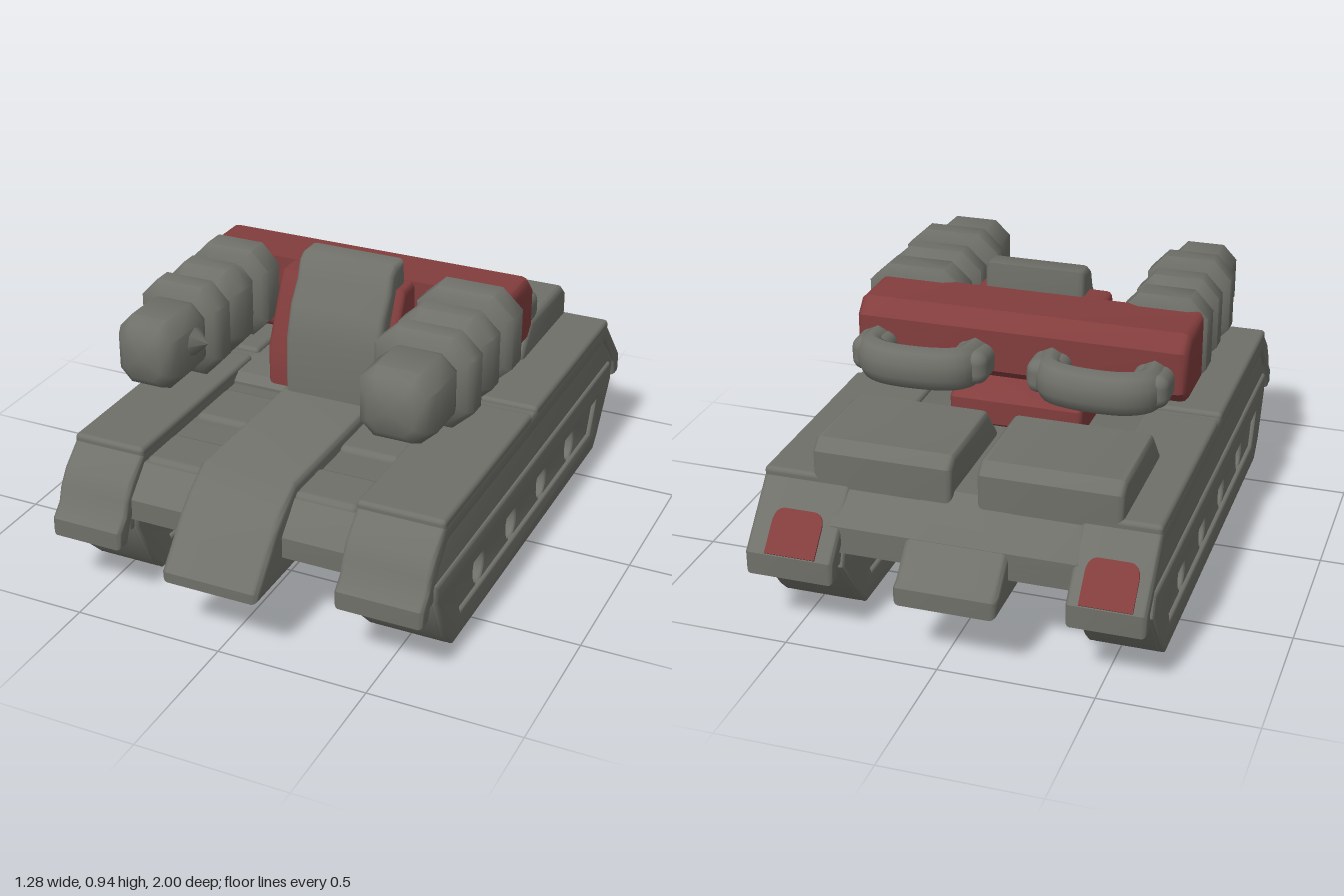
import * as THREE from 'three';
import { toCreasedNormals } from 'three/addons/utils/BufferGeometryUtils.js';
import { RoundedBoxGeometry } from 'three/addons/geometries/RoundedBoxGeometry.js';

const grey = new THREE.MeshStandardMaterial({ color: 0x6f7069 });
grey.name = 'armour grey';
const red = new THREE.MeshStandardMaterial({ color: 0x833d3d });
red.name = 'dark red';

function add(parent, name, geometry, material) {
  const mesh = new THREE.Mesh(geometry, material);
  mesh.name = name;
  parent.add(mesh);
  return mesh;
}

// Side profile of [z, y] points swept across x0..x1 with softened edges
function prism(profile, x0, x1, bevel = 0.02, holes = []) {
  const shape = new THREE.Shape(profile.map(([z, y]) => new THREE.Vector2(-z, y)));
  shape.holes = holes;
  const geo = new THREE.ExtrudeGeometry(shape, {
    depth: x1 - x0 - 2 * bevel, bevelEnabled: true, bevelSize: bevel,
    bevelThickness: bevel, bevelOffset: -bevel, bevelSegments: 3, curveSegments: 10,
  });
  geo.rotateY(Math.PI / 2).translate(x0 + bevel, 0, 0);
  return toCreasedNormals(geo, 0.7);
}

// Rounded box from its limits
function block(x0, x1, y0, y1, z0, z1, r = 0.025) {
  return new RoundedBoxGeometry(x1 - x0, y1 - y0, z1 - z0, 3, r)
    .translate((x0 + x1) / 2, (y0 + y1) / 2, (z0 + z1) / 2);
}

// Stepped cannon along z, its section a square with cut corners
function cannon() {
  const profile = [
    [0, -0.05], [0.13, -0.05], [0.155, -0.03], [0.155, 0.05], [0.135, 0.068],
    [0.108, 0.08], [0.108, 0.12], [0.125, 0.135], [0.15, 0.155], [0.15, 0.215],
    [0.125, 0.255], [0.108, 0.27], [0.108, 0.295], [0.135, 0.305], [0.155, 0.32],
    [0.155, 0.38], [0.138, 0.4], [0.112, 0.415], [0.118, 0.44], [0.118, 0.575],
    [0.1, 0.615], [0.07, 0.642], [0, 0.645],
  ].map(([r, z]) => new THREE.Vector2(r / Math.cos(Math.PI / 8), z));
  const geo = new THREE.LatheGeometry(profile, 8, Math.PI / 8);
  geo.rotateX(Math.PI / 2);
  const p = geo.attributes.position;
  for (let i = 0; i < p.count; i++) {
    const x = p.getX(i), y = p.getY(i);
    if (Math.abs(x) < Math.abs(y)) p.setX(i, Math.sign(x) * Math.abs(y) * 0.58);
    else p.setY(i, Math.sign(y) * Math.abs(x) * 0.58);
  }
  return toCreasedNormals(geo, 0.85);
}

// Thin lamp plate, rounded at its upper end
function lampPlate(w, h) {
  const shape = new THREE.Shape();
  shape.moveTo(-w, -h).lineTo(w, -h).lineTo(w, h * 0.3);
  shape.quadraticCurveTo(w, h, w * 0.55, h).lineTo(-w * 0.55, h);
  shape.quadraticCurveTo(-w, h, -w, h * 0.3);
  return new THREE.ExtrudeGeometry(shape, { depth: 0.006, bevelEnabled: false });
}

export function createModel() {
  const model = new THREE.Group();
  model.name = 'tank';
  const hull = new THREE.Group();
  hull.name = 'hull';
  const turret = new THREE.Group();
  turret.name = 'turret';
  model.add(hull, turret);

  // Hull: floor, raised rear deck, and a full-length centre spine
  add(hull, 'lowerDeck', prism([[0.83, 0.28], [0.83, 0.35], [0.74, 0.44], [-0.7, 0.44],
    [-0.88, 0.33], [-0.88, 0.28]], -0.42, 0.4), grey);
  add(hull, 'rearDeck', prism([[0.14, 0.38], [0.14, 0.45], [0.11, 0.475], [-0.77, 0.475],
    [-0.88, 0.37], [-0.88, 0.31]], -0.42, 0.4), grey);
  add(hull, 'spine', prism([[1, 0.205], [1, 0.24], [0.92, 0.33], [0.87, 0.385], [0.82, 0.43], [0.73, 0.487],
    [-0.76, 0.487], [-0.97, 0.28], [-1, 0.265], [-1, 0.205]], -0.19, 0.14), grey);

  for (const [x0, x1, side] of [[-0.64, -0.39, 'right'], [0.35, 0.64, 'left']]) {
    // Track core pierced by four oval holes
    const outline = [[0.66, 0], [0.72, 0.06], [0.8, 0.23], [0.8, 0.29], [-0.85, 0.29],
      [-0.87, 0.22], [-0.74, 0.04], [-0.7, 0]];
    const holes = [0.42, 0.13, -0.16, -0.45].map((z) =>
      new THREE.Path().absellipse(-z, 0.143, 0.044, 0.06, 0, Math.PI * 2));
    add(hull, side + 'Track', prism(outline, x0 + 0.015, x1 - 0.015, 0.008, holes), grey);
    // Side skins with a long slot around the holes
    for (const x of [x0, x1 - 0.025]) {
      const slot = new THREE.Path([[-0.6, 0.085], [0.65, 0.085], [0.7, 0.2], [-0.65, 0.2]]
        .map(([px, py]) => new THREE.Vector2(px, py)));
      add(hull, side + 'TrackSkin', prism(outline, x, x + 0.025, 0.01, [slot]), grey);
    }

    // Inset body under a thin fender that overhangs at both ends
    add(hull, side + 'GuardBody', prism([[0.83, 0.22], [0.83, 0.3], [0.73, 0.45], [-0.79, 0.45],
      [-0.92, 0.29], [-0.92, 0.22]], x0 + 0.012, x1 - 0.012), grey);
    add(hull, side + 'Fender', prism([[0.91, 0.205], [0.91, 0.265], [0.87, 0.305], [0.855, 0.35], [0.82, 0.405],
      [0.74, 0.475], [-0.78, 0.475], [-0.96, 0.28], [-0.96, 0.205], [-0.915, 0.205], [-0.905, 0.265],
      [-0.765, 0.41], [0.715, 0.41], [0.78, 0.345], [0.835, 0.27], [0.86, 0.205]], x0, x1, 0.015), grey);
    // Fender top plates, split at the middle
    for (const [z0, z1] of [[0.005, 0.75], [-0.79, -0.035]]) {
      add(hull, side + 'FenderPlate', block(x0, x1, 0.45, 0.49, z0, z1, 0.015), grey);
    }

    // Tail lamp on the rear slope
    const lamp = add(hull, side + 'TailLamp', lampPlate(0.083, 0.075), red);
    lamp.position.set(side === 'left' ? 0.49 : -0.515, 0.338, -0.907);
    lamp.rotation.set(0.745, Math.PI, 0);
  }

  // Low steps on the front deck beside the spine
  for (const [x0, x1] of [[-0.39, -0.18], [0.13, 0.35]]) {
    for (const [z0, z1] of [[0.2, 0.42], [0.55, 0.74]]) {
      add(hull, 'deckStep', block(x0, x1, 0.4, 0.457, z0, z1, 0.025), grey);
    }
  }

  // Engine boxes with sloped fronts
  for (const [x0, x1] of [[-0.52, -0.06], [0.02, 0.475]]) {
    add(hull, 'engineBox', prism([[-0.34, 0.45], [-0.34, 0.5], [-0.43, 0.605], [-0.75, 0.605],
      [-0.79, 0.57], [-0.79, 0.45]], x0, x1), grey);
  }

  // Turret core and wide cross arm, deeper in the middle
  add(turret, 'turretCore', prism([[0.16, 0.485], [0.16, 0.62], [0.05, 0.86], [-0.1, 0.86],
    [-0.24, 0.64], [-0.31, 0.58], [-0.31, 0.5], [-0.29, 0.485]], -0.25, 0.2), red);
  add(turret, 'crossArm', prism([[-0.03, 0.63], [-0.03, 0.862], [-0.22, 0.862], [-0.27, 0.81],
    [-0.27, 0.67], [-0.23, 0.63]], -0.58, 0.533, 0.03), red);
  add(turret, 'crossArmBelly', block(-0.4, 0.37, 0.583, 0.7, -0.23, -0.035, 0.04), red);

  // Grey face plate
  add(turret, 'facePlate', prism([[0.19, 0.48], [0.185, 0.68], [0.15, 0.79], [0.1, 0.86], [0.08, 0.92],
    [0.05, 0.942], [-0.02, 0.942], [-0.03, 0.84], [0, 0.48]], -0.17, 0.17), grey);

  // Twin cannons
  for (const [x, width, side] of [[-0.443, 0.93, 'right'], [0.41, 1.08, 'left']]) {
    const mesh = add(turret, side + 'Cannon', cannon(), grey);
    mesh.position.set(x, 0.747, 0);
    mesh.scale.x = width;
  }
  const stud = add(turret, 'cannonStud', new THREE.ConeGeometry(0.06, 0.06, 8).rotateZ(-Math.PI / 2), grey);
  stud.position.set(-0.315, 0.765, 0.49);

  // Looped hoses behind the cross arm, with thick sockets
  for (const s of [-1, 1]) {
    const path = new THREE.CatmullRomCurve3([[0.465, -0.25], [0.46, -0.34], [0.4, -0.383],
      [0.22, -0.383], [0.15, -0.35], [0.125, -0.25]].map(([x, z]) => new THREE.Vector3(s * x - 0.01, 0, z)));
    const hose = add(turret, 'hose', new THREE.TubeGeometry(path, 28, 0.05, 10), grey);
    hose.position.y = 0.705;
    hose.scale.y = 1.5;
    for (const x of [0.465, 0.13]) {
      const c = s * x - 0.01;
      add(turret, 'hoseSocket', block(c - 0.065, c + 0.065, 0.65, 0.765, -0.37, -0.2, 0.04), grey);
    }
  }
  return model;
}
